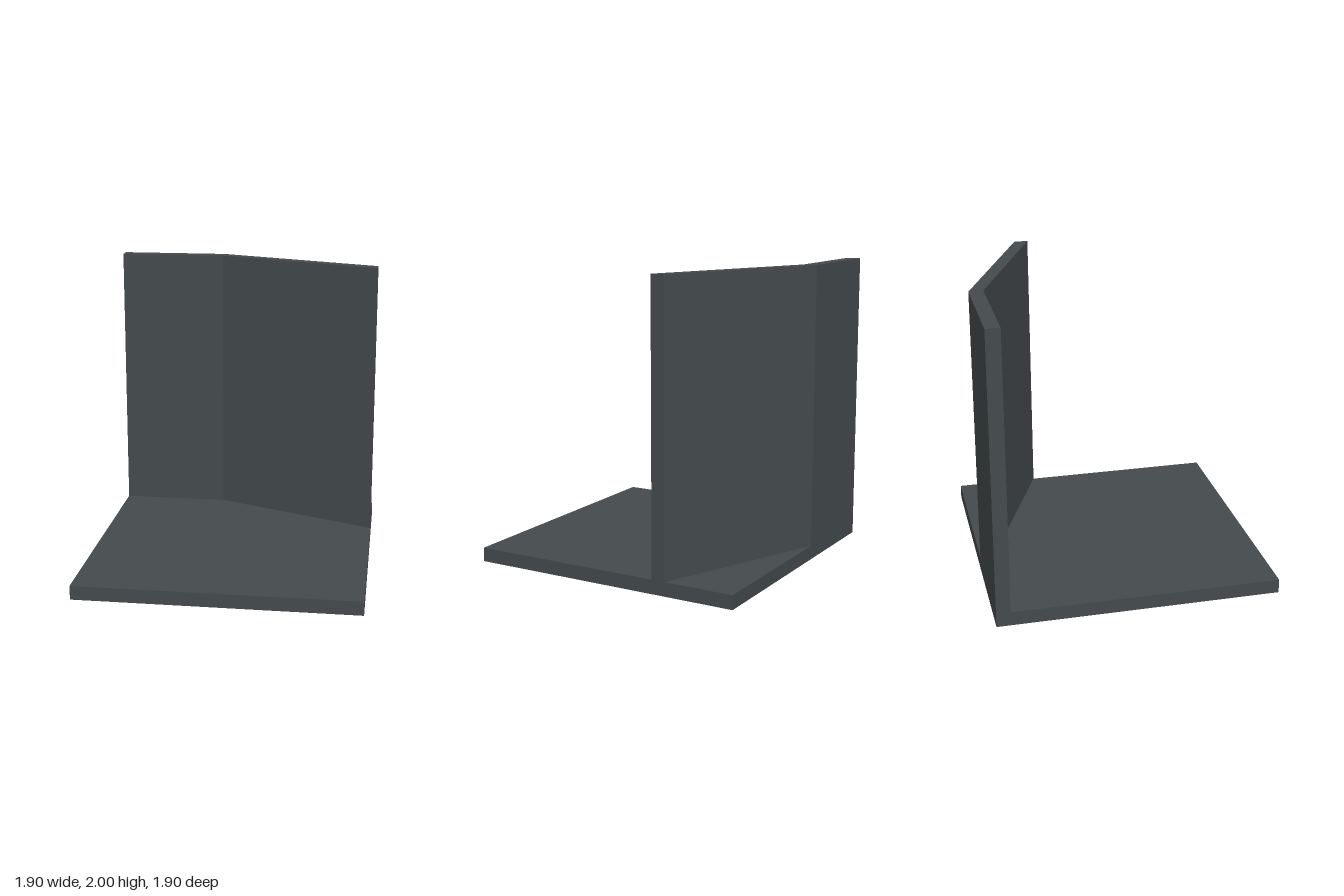
import * as THREE from 'three';

const HALF = 0.95;       // half width of the square floor
const THICK = 0.095;     // slab and wall thickness
const HEIGHT = 2;

// Extrude a floor-plan outline of [x, z] points upward from y0 to y1
function extrudePlan(points, y0, y1) {
  const shape = new THREE.Shape(points.map(([x, z]) => new THREE.Vector2(x, -z)));
  const geometry = new THREE.ExtrudeGeometry(shape, { depth: y1 - y0, bevelEnabled: false });
  geometry.rotateX(-Math.PI / 2);
  geometry.translate(0, y0, 0);
  return geometry;
}

export function createModel() {
  const group = new THREE.Group();
  group.name = 'angledWallOnFloor';
  const slate = new THREE.MeshStandardMaterial({ color: 0x444a4d });
  slate.name = 'dark slate';

  // Square floor slab
  const floor = new THREE.Mesh(new THREE.BoxGeometry(HALF * 2, THICK, HALF * 2), slate);
  floor.name = 'floor';
  floor.position.y = THICK / 2;
  group.add(floor);

  // Back wall: straight along the rear edge, then bending forward on the left
  const back = [[-HALF, -HALF], [-0.2, -HALF], [HALF, -0.475]];
  const front = back.map(([x, z]) => [x, z + THICK]).reverse();
  const wall = new THREE.Mesh(extrudePlan([...back, ...front], THICK, HEIGHT), slate);
  wall.name = 'bentWall';
  group.add(wall);

  return group;
}
